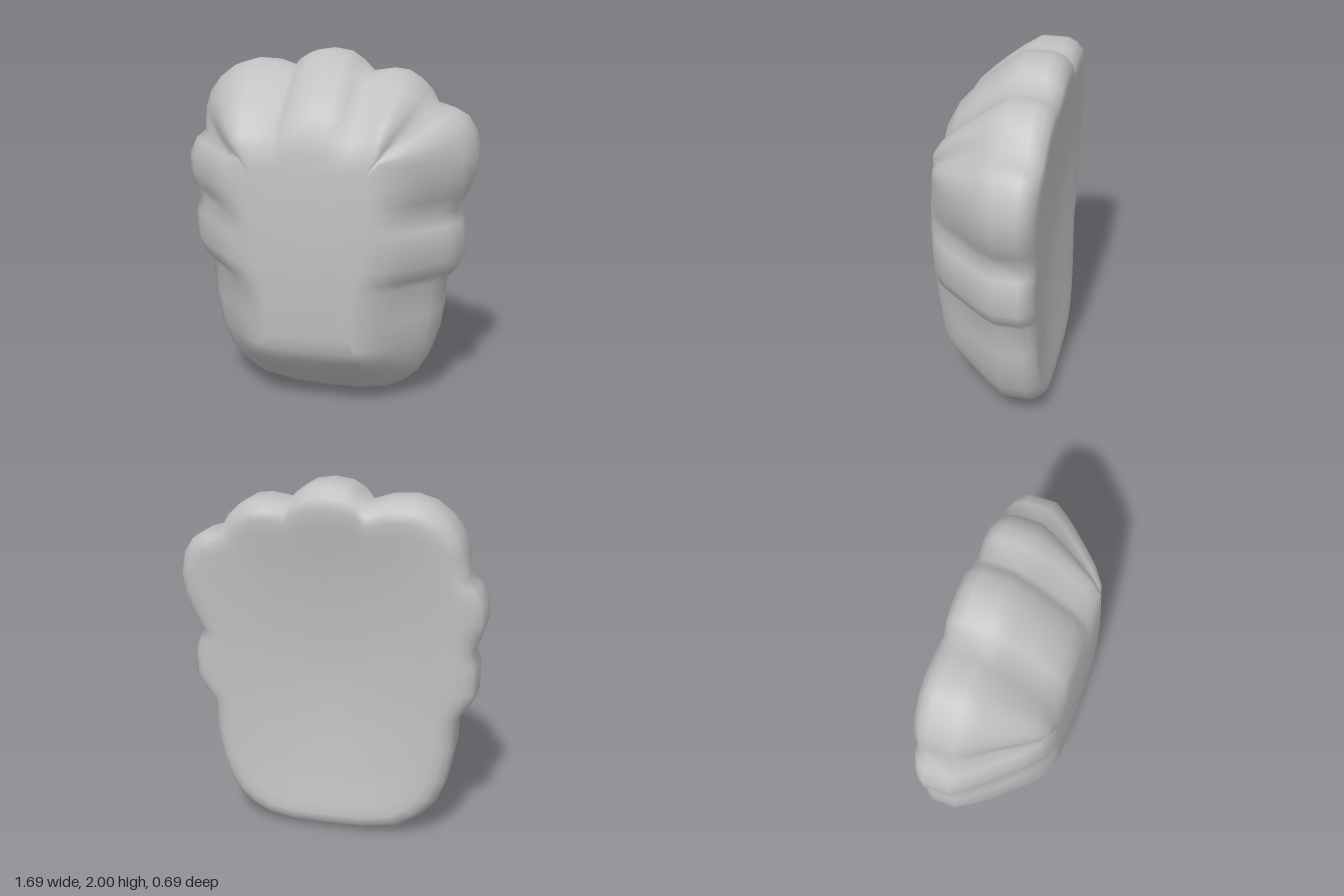
import * as THREE from 'three';

// Outer outline (x, y), counter-clockwise from the bottom middle: a pad with lobes round the top and sides
const OUTLINE = [
  [0, 0.005], [0.2, 0.01], [0.36, 0.04], [0.46, 0.09], [0.54, 0.16], [0.6, 0.26], [0.645, 0.4], [0.67, 0.55], [0.68, 0.73],
  [0.74, 0.79], [0.78, 0.87], [0.78, 1.0], [0.76, 1.07], [0.73, 1.14],
  [0.79, 1.23], [0.83, 1.34], [0.845, 1.45], [0.82, 1.57], [0.77, 1.65], [0.7, 1.69], [0.6, 1.72],
  [0.56, 1.79], [0.5, 1.85], [0.43, 1.89], [0.35, 1.9], [0.23, 1.88],
  [0.17, 1.94], [0.1, 1.985], [0, 2], [-0.1, 1.985], [-0.16, 1.95], [-0.21, 1.89],
  [-0.32, 1.925], [-0.45, 1.93], [-0.55, 1.9], [-0.64, 1.83], [-0.7, 1.75], [-0.735, 1.65], [-0.74, 1.52],
  [-0.8, 1.47], [-0.84, 1.38], [-0.845, 1.28], [-0.82, 1.2], [-0.78, 1.12],
  [-0.81, 1.04], [-0.81, 0.88], [-0.77, 0.8], [-0.71, 0.73],
  [-0.7, 0.55], [-0.665, 0.36], [-0.61, 0.22], [-0.52, 0.12], [-0.4, 0.045], [-0.2, 0.01],
];
// Outline indices of the creases between lobes
const CREASES = [8, 13, 20, 25, 31, 38, 43, 47];
const CENTRE_Y = 0.95;
const { clamp, lerp, smoothstep } = THREE.MathUtils;

const frontZ = (x, y) => 0.345 - 0.08 * (y - CENTRE_Y) ** 2 - 0.05 * x * x;

// Back panel, slightly hollow in the middle
function backZ(x, y) {
  const hollow = Math.max(0, 1 - (x / 0.62) ** 2) * Math.max(0, 1 - ((y - CENTRE_Y) / 0.88) ** 2);
  return -0.305 - 0.05 * (y - 0.9) ** 2 + 0.06 * hollow;
}

// Point on the flat front panel that belongs to an outline point
function panelPoint([x, y]) {
  const py = clamp(y, 0.4, 1.45);
  const half = lerp(0.23, 0.36, smoothstep(py, 0.3, 1.25));
  const px = clamp(x, -half, half);
  return [lerp(px, x, 0.07), lerp(py, y, 0.07)];
}

// Swelling of the front slope: lobes stand out, creases sink, the top is fuller
function swelling(i) {
  const k = CREASES.findIndex((c, j) => i >= c && i <= CREASES[j + 1]);
  if (k < 0) return 0;
  const lobe = Math.sin(Math.PI * (i - CREASES[k]) / (CREASES[k + 1] - CREASES[k]));
  return 0.055 * lobe - 0.035 + 0.04 * smoothstep(OUTLINE[i][1], 1.5, 1.85);
}

// Rings from the back panel, round the rim, to the front panel: [inset, shrink, depth]
// inset: 0 = outline, 1 = panel edge; shrink: scale towards the centre; depth: share of the way to the panel
const BACK_RINGS = [
  [1, 0.3, 1], [1, 0.65, 1], [1, 1, 1], [0.7, 1, 1], [0.42, 1, 1], [0.26, 1, 0.98], [0.14, 1, 0.88], [0.05, 1, 0.62], [0, 1, 0.28],
];
const FRONT_RINGS = [
  [0, 1, 0.1], [0.13, 1, 0.28], [0.27, 1, 0.43], [0.42, 1, 0.58], [0.6, 1, 0.76], [0.8, 1, 0.91], [1, 1, 0.985], [1, 0.85, 1], [1, 0.45, 1],
];

function padGeometry() {
  const n = OUTLINE.length;
  const positions = [];
  const index = [];
  const addRing = (inset, shrink, zAt) => OUTLINE.forEach((point, i) => {
    const panel = panelPoint(point);
    const x = lerp(point[0], panel[0], inset) * shrink;
    const y = CENTRE_Y + (lerp(point[1], panel[1], inset) - CENTRE_Y) * shrink;
    positions.push(x, y, zAt(x, y, i));
  });
  for (const [inset, shrink, depth] of BACK_RINGS) {
    addRing(inset, shrink, (x, y) => lerp(-0.2, backZ(x, y), depth));
  }
  for (const [inset, shrink, depth] of FRONT_RINGS) {
    const slope = Math.sin(Math.PI * inset);
    addRing(inset, shrink, (x, y, i) => lerp(-0.14, frontZ(x, y), depth) + slope * swelling(i));
  }
  // Join neighbouring rings
  const last = (BACK_RINGS.length + FRONT_RINGS.length - 1) * n;
  for (let r = 0; r < last; r += n) {
    for (let i = 0; i < n; i++) {
      const a = r + i, b = r + (i + 1) % n;
      index.push(a, b, b + n, a, b + n, a + n);
    }
  }
  // Close the middle of both panels
  const back = positions.length / 3, front = back + 1;
  positions.push(0, CENTRE_Y, backZ(0, CENTRE_Y), 0, CENTRE_Y, frontZ(0, CENTRE_Y));
  for (let i = 0; i < n; i++) {
    const j = (i + 1) % n;
    index.push(back, j, i, front, last + i, last + j);
  }
  const geometry = new THREE.BufferGeometry();
  geometry.setAttribute('position', new THREE.Float32BufferAttribute(positions, 3));
  geometry.setIndex(index);
  geometry.computeVertexNormals();
  return geometry;
}

export function createModel() {
  const grey = new THREE.MeshStandardMaterial({ color: 0xc0c0c0 });
  grey.name = 'plain grey';
  const pad = new THREE.Mesh(padGeometry(), grey);
  pad.name = 'lobedPad';
  const group = new THREE.Group();
  group.name = 'lobedPadModel';
  group.add(pad);
  return group;
}
